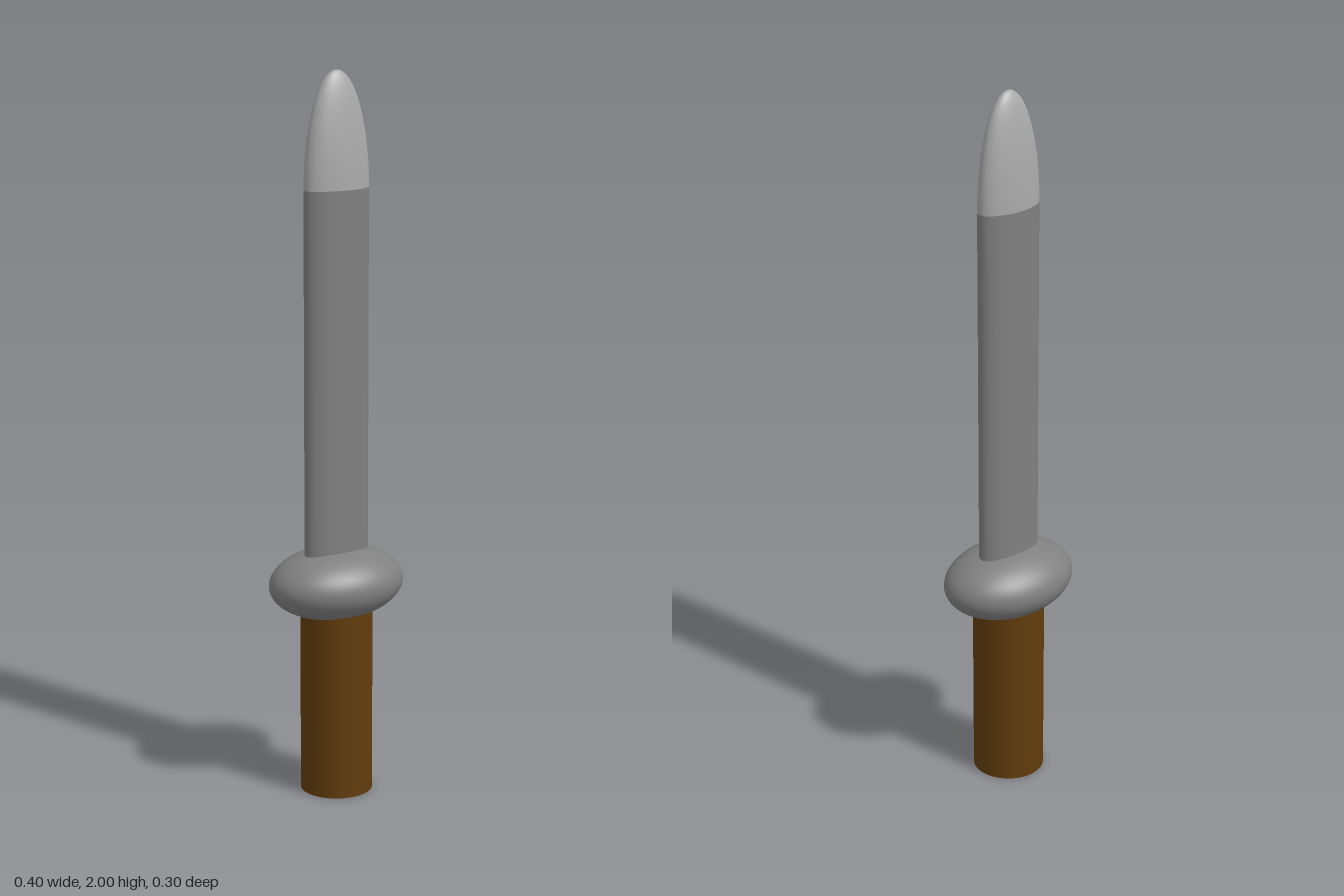
import * as THREE from 'three';

export function createModel() {
  const sword = new THREE.Group();
  sword.name = 'sword';

  const material = (name, color) => {
    const m = new THREE.MeshStandardMaterial({ color });
    m.name = name;
    return m;
  };
  const steel = material('steel', 0x808080);
  const brightSteel = material('brightSteel', 0xaaaaaa);
  const wood = material('wood', 0x623c0c);

  // Adds a unit shape stretched to its radii, centred at height y
  const add = (name, geometry, mat, y, rx, ry, rz) => {
    geometry.scale(rx, ry, rz);
    const mesh = new THREE.Mesh(geometry, mat);
    mesh.name = name;
    mesh.position.y = y;
    sword.add(mesh);
  };

  // Round grip, running up into the guard
  add('handle', new THREE.CylinderGeometry(1, 1, 1, 48), wood, 0.3, 0.1, 0.6, 0.1);

  // Egg-shaped guard
  add('guard', new THREE.SphereGeometry(1, 64, 40), steel, 0.6, 0.2, 0.1, 0.15);

  // Oval blade from inside the guard to the tip
  const base = 0.6, shoulder = 1.687;
  add('blade', new THREE.CylinderGeometry(1, 1, 1, 64), steel,
    (base + shoulder) / 2, 0.1, shoulder - base, 0.05);

  // Rounded tip: half an ellipsoid on the end of the blade
  add('bladeTip', new THREE.SphereGeometry(1, 64, 24, 0, Math.PI * 2, 0, Math.PI / 2),
    brightSteel, shoulder, 0.1, 2 - shoulder, 0.05);

  return sword;
}
